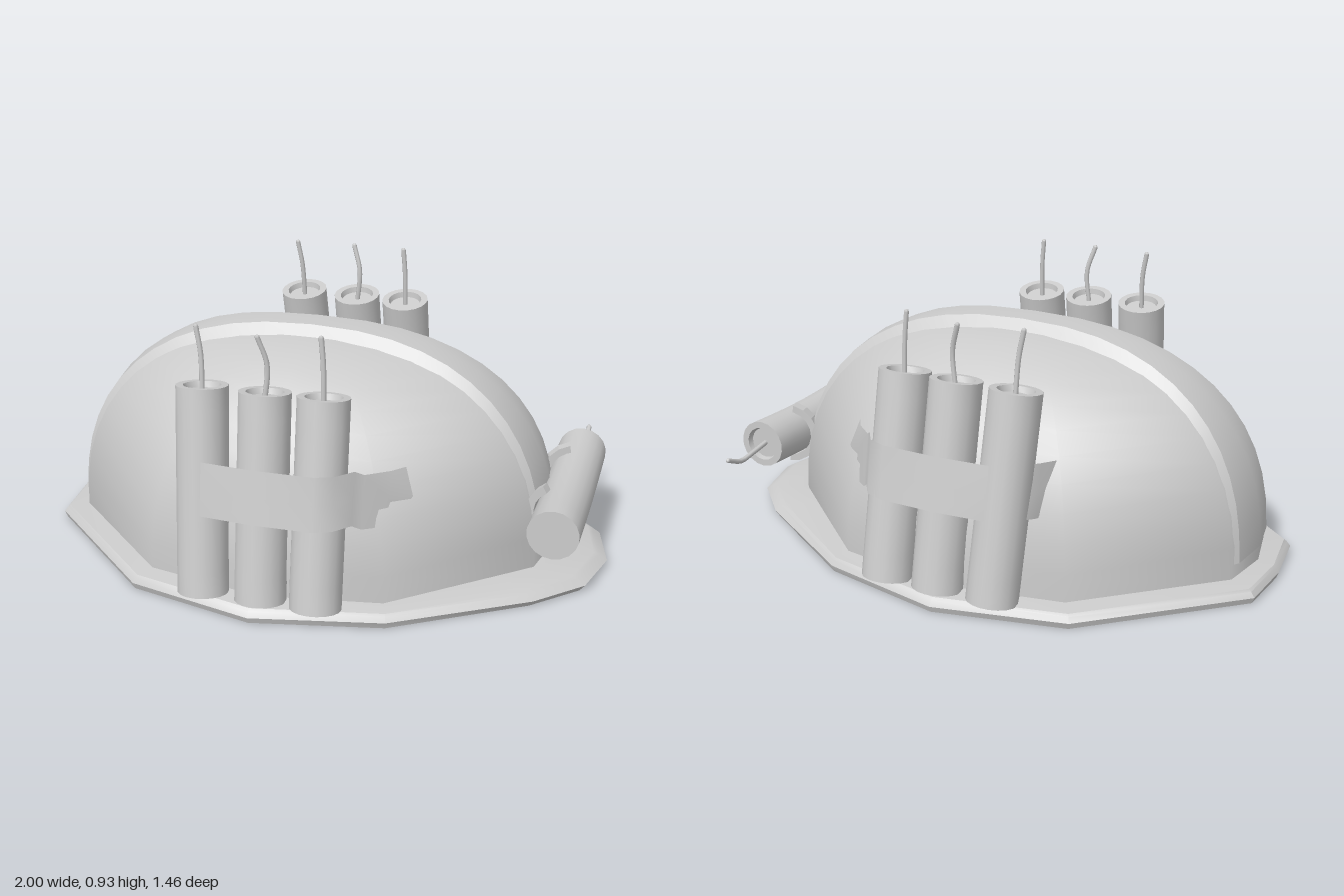
import * as THREE from 'three';
import { toCreasedNormals } from 'three/addons/utils/BufferGeometryUtils.js';

const CX = -0.06, A = 0.868, C = 0.64, BASE = 0.02, H = 0.745, NX = 2.48, NZ = 2.25;
const solid = new THREE.MeshStandardMaterial({ color: 0xcccccc });
const thin = new THREE.MeshStandardMaterial({ color: 0xcccccc, side: THREE.DoubleSide });

function mesh(name, geometry, material = solid) {
  const m = new THREE.Mesh(geometry, material);
  m.name = name;
  return m;
}

// Skin a list of equally long rows of [x, y, z] points
function loft(rows, crease) {
  const n = rows[0].length, index = [];
  for (let i = 0; i < rows.length - 1; i++)
    for (let j = 0; j < n - 1; j++) {
      const a = i * n + j, b = a + n;
      index.push(a, b, a + 1, b, b + 1, a + 1);
    }
  const g = new THREE.BufferGeometry();
  g.setAttribute('position', new THREE.Float32BufferAttribute(rows.flat(2), 3));
  g.setIndex(index);
  g.computeVertexNormals();
  return toCreasedNormals(g, crease);
}

// Fullness of the dome's curve: boxier lengthwise than crosswise
const fullness = (angle) => NZ + (NX - NZ) * Math.cos(angle) ** 2;

// Open helmet bowl, lofted from a few meridians so its plan is a 12-sided oval
function makeDome() {
  const degrees = [0, 16.4, 62, 90, 118, 163.6, 180, 196.4, 242, 270, 298, 343.6, 360];
  const rows = degrees.map((d) => {
    const angle = -d * Math.PI / 180, e = 2 / fullness(angle), row = [];
    for (let j = 0; j <= 12; j++) {
      const t = (j / 12) * Math.PI / 2;
      const r = j === 12 ? 0 : Math.cos(t) ** e;
      row.push([CX + A * r * Math.cos(angle), BASE + H * Math.sin(t) ** e, C * r * Math.sin(angle)]);
    }
    return row;
  });
  return mesh('helmetDome', loft(rows, 0.9), thin);
}

// Crest that widens toward both ends and sinks into the dome there
function makeRidge() {
  const rows = [], steps = 24;
  for (let i = 0; i <= steps; i++) {
    const phi = 0.07 + (i / steps) * (Math.PI - 0.14);
    const c = Math.cos(phi), u = Math.sign(c) * Math.abs(c) ** (2 / NX);
    const w = 0.052 + 0.1 * u * u;
    const lift = 0.004 + 0.031 * Math.sin(phi) ** 1.5;
    const section = [[-w - 0.035, -0.015], [-w, lift], [0, lift], [w, lift], [w + 0.035, -0.015]];
    rows.push(section.map(([z, out]) => {
      const q = z / C, x = u * Math.sqrt(1 - q * q), n = fullness(Math.atan2(q, x));
      const y = Math.max(0, 1 - Math.hypot(x, q) ** n) ** (1 / n);
      return [CX + A * x + out * c, BASE + H * y + out * Math.sin(phi), z];
    }));
  }
  return mesh('crestRidge', loft(rows, 0.5), thin);
}

// Faceted brim: section swept from the dome's foot to the outline, [outer x, z, inner x, z]
function makeBrim() {
  const half = [[1, 0, 0.808, 0], [0.95, 0.2, 0.773, 0.181], [0.8, 0.355, 0.66, 0.281], [0.37, 0.63, 0.348, 0.565],
    [-0.065, 0.73, -0.06, 0.64], [-0.51, 0.63, -0.468, 0.565], [-0.98, 0.21, -0.893, 0.181], [-1, 0, -0.928, 0]];
  const back = half.slice(0, -1).reverse().map(([x, z, ix, iz]) => [x, -z, ix, -iz]);
  const section = [[-0.06, 0.055], [0.75, 0.047], [0.85, 0.04], [1, 0.022], [0.9, 0], [-0.06, 0.012], [-0.06, 0.055]];
  const rows = [...half, ...back].map(([x, z, ix, iz]) =>
    section.map(([t, y]) => [ix + (x - ix) * t, y, iz + (z - iz) * t]));
  return mesh('brim', loft(rows, 0.5), thin);
}

// Stick with recessed end and a fuse, running from base to tip
function makeStick(name, base, tip, r, fuse, bend = 0) {
  const from = new THREE.Vector3(...base), dir = new THREE.Vector3(...tip).sub(from);
  const len = dir.length(), pts = [[0, 0]];
  for (let i = 0; i <= 8; i++) pts.push([r, (len * i) / 8]);
  pts.push([r * 0.72, len], [r * 0.66, len - 0.02], [0, len - 0.02]);
  const g = new THREE.LatheGeometry(pts.map((p) => new THREE.Vector2(...p)), 18);
  const p = g.attributes.position;
  for (let i = 0; i < p.count; i++)
    p.setZ(i, p.getZ(i) + bend * Math.sin((Math.PI * p.getY(i)) / len));
  const group = new THREE.Group();
  group.name = name;
  group.add(mesh('stickBody', toCreasedNormals(g, 0.6)));
  const path = new THREE.CatmullRomCurve3(
    [[0, -0.03, 0], ...fuse].map(([x, y, z]) => new THREE.Vector3(x, len + y, z)));
  const tipCap = mesh('fuseTip', new THREE.SphereGeometry(0.009, 6, 4));
  tipCap.position.copy(path.getPoint(1));
  group.add(mesh('fuse', new THREE.TubeGeometry(path, 10, 0.009, 6)), tipCap);
  group.position.copy(from);
  group.quaternion.setFromUnitVectors(new THREE.Vector3(0, 1, 0), dir.normalize());
  return group;
}

// Tape band over three sticks: [x, z, drop, lean], with its ends stuck to the dome
function makeStrap(side) {
  const path = [[-0.4, 0.45, -0.025, 0.25], [-0.36, 0.54, -0.015, 0.2], [-0.32, 0.625, 0, 0.18], [-0.27, 0.66, 0, 0.18],
    [-0.06, 0.672, 0, 0.18], [0.14, 0.665, 0, 0.18], [0.2, 0.64, 0, 0.18], [0.245, 0.575, -0.005, 0.18],
    [0.27, 0.55, -0.025, 0.2], [0.34, 0.49, -0.03, 0.25], [0.4, 0.435, -0.035, 0.25]];
  const skews = { 0: [0.02, 0, -0.01], 10: [-0.035, 0.005, -0.025] };
  const rows = path.map(([x, z, drop, lean], i) => [0.338, 0.425, 0.514].map((y, j) =>
    [x + (skews[i]?.[j] ?? 0), y + drop, side * (z - lean * (y - 0.425))]));
  return mesh('strap', loft(rows, 0.7), thin);
}

// Bundle of three sticks on the front (side 1) or back (side -1)
function makeBundle(side) {
  const group = new THREE.Group();
  group.name = side > 0 ? 'frontBundle' : 'backBundle';
  const sticks = [
    [-0.247, -0.274, 0.525, [[0, 0.1, 0.01], [-0.012, 0.19, 0.02]]],
    [-0.048, -0.062, 0.522, [[0.012, 0.09, 0.02], [-0.012, 0.18, 0.05]]],
    [0.14, 0.13, 0.512, [[0, 0.1, 0.02], [-0.006, 0.19, 0.035]]],
  ];
  for (const [x0, x1, z1, fuse] of sticks)
    group.add(makeStick('stick', [x0, 0.048, side * 0.645], [x1, 0.73, side * z1], 0.086,
      fuse.map(([x, y, z]) => [x, y, z * side])));
  group.add(makeStrap(side));
  return group;
}

// Bent stick across the left side, held by two half-ring clips
function makeSideStick() {
  const group = new THREE.Group();
  group.name = 'sideStick';
  group.add(makeStick('stick', [0.85, 0.275, 0.357], [0.85, 0.275, -0.342], 0.086,
    [[0, 0.06, -0.012], [0, 0.13, -0.018], [0, 0.2, 0.01]], -0.015));
  for (const [z, start] of [[0.175, 2.1], [-0.165, 1.75]]) {
    const shape = new THREE.Shape();
    shape.absarc(0, 0, 0.112, start, 4.75, false);
    shape.absarc(0, 0, 0.085, 4.75, start, true);
    const g = new THREE.ExtrudeGeometry(shape, { depth: 0.036, bevelEnabled: false, curveSegments: 4 });
    g.translate(0, 0, -0.018);
    const clip = mesh('clip', g);
    clip.position.set(0.845, 0.263, z);
    clip.rotation.y = z > 0 ? -0.2 : 0.2;
    group.add(clip);
  }
  return group;
}

export function createModel() {
  const model = new THREE.Group();
  model.name = 'helmetWithSticks';
  model.add(makeDome(), makeRidge(), makeBrim(), makeBundle(1), makeBundle(-1), makeSideStick());
  return model;
}
